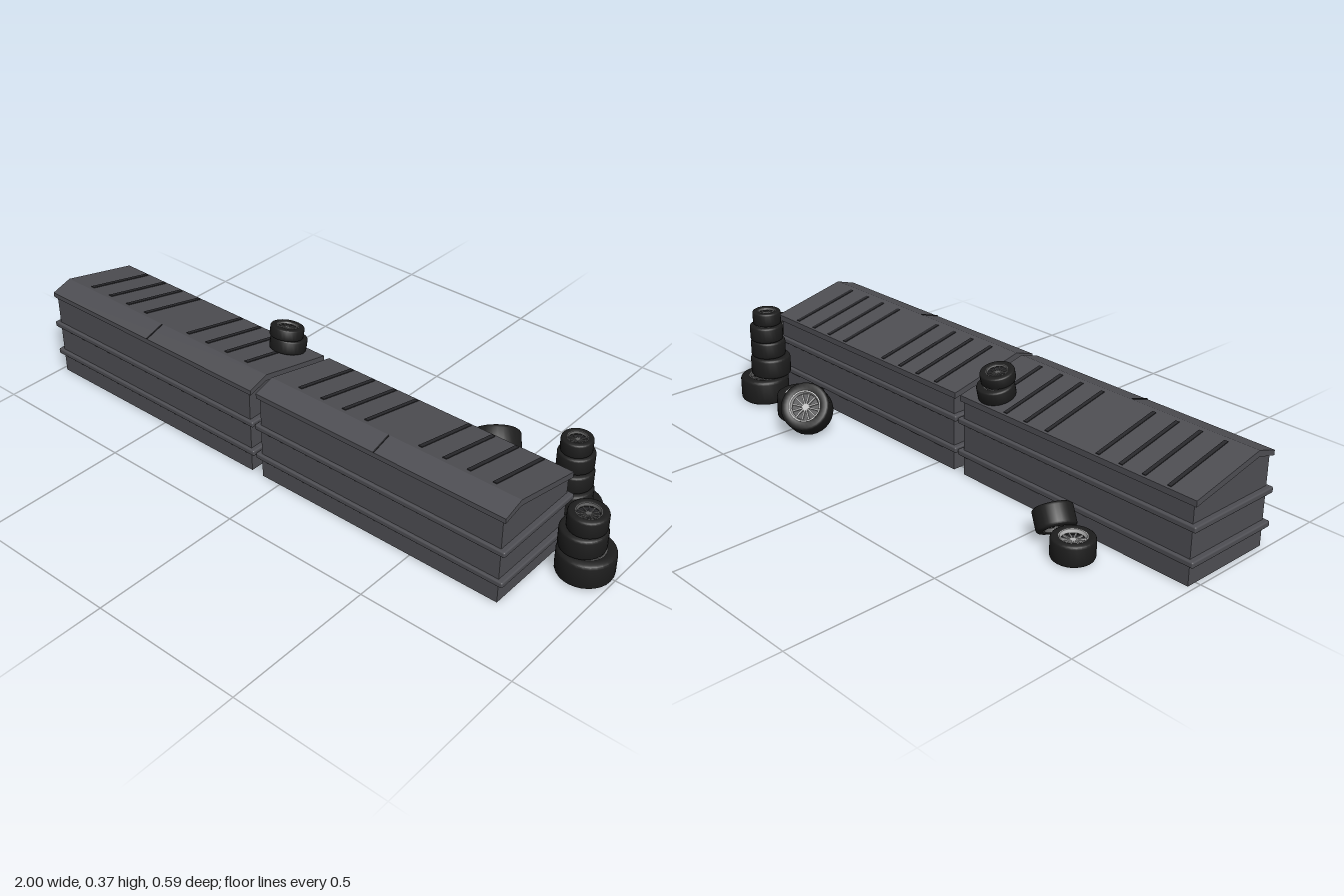
import * as THREE from 'three';
import { toCreasedNormals } from 'three/addons/utils/BufferGeometryUtils.js';
import { RoundedBoxGeometry } from 'three/addons/geometries/RoundedBoxGeometry.js';

const mat = (name, color) => {
  const m = new THREE.MeshStandardMaterial({ color });
  m.name = name;
  return m;
};

export function createModel() {
  const model = new THREE.Group();
  model.name = 'containersAndTires';
  const steel = mat('grey steel', 0x4e4e53);
  const groove = mat('dark groove', 0x29292c);
  const rubber = mat('black rubber', 0x1d1d1d);
  const alloy = mat('bright alloy', 0xb4b4b4);
  const dullAlloy = mat('dull alloy', 0x5c5c5c);

  const add = (parent, name, geo, material, x = 0, y = 0, z = 0) => {
    const m = new THREE.Mesh(geo, material);
    m.name = name;
    m.position.set(x, y, z);
    parent.add(m);
    return m;
  };

  // Side profile given as [z, y], extruded along x
  const extrudeX = (pts, width) => {
    const shape = new THREE.Shape(pts.map(([z, y]) => new THREE.Vector2(z, y)));
    const g = new THREE.ExtrudeGeometry(shape, { depth: width, bevelEnabled: false });
    return g.translate(0, 0, -width / 2).rotateY(-Math.PI / 2);
  };

  // Thin strip lying on the lid between two [z, y] points
  const lidStrip = (parent, name, x, a, b, width) => {
    const dz = b[0] - a[0], dy = b[1] - a[1];
    const g = new THREE.BoxGeometry(width, 0.005, Math.hypot(dz, dy));
    const m = add(parent, name, g, groove, x, (a[1] + b[1]) / 2, (a[0] + b[0]) / 2);
    m.rotation.x = -Math.atan2(dy, dz);
  };

  const container = (name, cx) => {
    const c = new THREE.Group();
    c.name = name;
    c.position.x = cx;
    model.add(c);
    add(c, 'body', extrudeX(
      [[-0.032, 0], [0.285, 0], [0.285, 0.29], [0.221, 0.31], [-0.032, 0.252]], 0.87), steel);
    add(c, 'lid', extrudeX(
      [[-0.038, 0.245], [0.221, 0.302], [0.291, 0.284], [0.291, 0.3], [0.221, 0.322], [-0.038, 0.264]],
      0.892), steel);
    for (const y of [0.074, 0.18])
      add(c, 'band', new RoundedBoxGeometry(0.906, 0.019, 0.338, 2, 0.005), steel, 0, y, 0.126);
    // Two sets of four grooves on the rear slope
    const slopeY = (z) => 0.264 + (z + 0.038) * (0.058 / 0.259);
    for (const side of [-1, 1])
      for (const x of [0.097, 0.18, 0.262, 0.348])
        lidStrip(c, 'lidGroove', side * x, [-0.03, slopeY(-0.03)], [0.205, slopeY(0.205)], 0.013);
    lidStrip(c, 'lidSeam', 0, [0.291, 0.3], [0.223, 0.3215], 0.004);
  };
  container('rightContainer', -0.5475);
  container('leftContainer', 0.3665);

  // Unit wheel parts: radius 1, height 1
  const lathe = (pts) => toCreasedNormals(
    new THREE.LatheGeometry(pts.map(([r, y]) => new THREE.Vector2(r, y)), 28), 0.6);
  const tireGeo = lathe([[0.62, -0.46], [0.7, -0.5], [0.9, -0.49], [0.97, -0.44], [1, -0.36],
    [1, 0.36], [0.97, 0.44], [0.9, 0.49], [0.7, 0.5], [0.62, 0.46], [0.62, -0.46]]);
  const lipGeo = lathe([[0.54, 0.32], [0.64, 0.32], [0.64, 0.475], [0.59, 0.475], [0.54, 0.32]]);
  const discGeo = new THREE.CylinderGeometry(0.63, 0.63, 0.4, 28);
  const hubGeo = new THREE.CylinderGeometry(0.15, 0.17, 0.12, 12);
  const spokeGeo = new THREE.BoxGeometry(0.45, 0.08, 0.06);

  const wheel = (name, r, h, pos, axis = [0, 1, 0], metal = dullAlloy) => {
    const w = new THREE.Group();
    w.name = name;
    w.position.set(...pos);
    w.scale.set(r, h, r);
    w.quaternion.setFromUnitVectors(
      new THREE.Vector3(0, 1, 0), new THREE.Vector3(...axis).normalize());
    add(w, 'tire', tireGeo, rubber);
    add(w, 'wheelDisc', discGeo, groove);
    // Same rim on both faces
    for (const flip of [0, Math.PI]) {
      const face = new THREE.Group();
      face.name = 'rim';
      face.rotation.x = flip;
      add(face, 'rimLip', lipGeo, metal);
      add(face, 'hub', hubGeo, metal, 0, 0.26, 0);
      for (let i = 0; i < 12; i++) {
        const a = (i / 12) * Math.PI * 2;
        add(face, 'spoke', spokeGeo, metal, Math.cos(a) * 0.36, 0.27, -Math.sin(a) * 0.36)
          .rotation.y = a;
      }
      w.add(face);
    }
    model.add(w);
  };

  // Stacks beside the left container: [radius, height, x, y, z]
  const stacks = {
    frontStackWheel: [
      [0.086, 0.085, 0.911, 0.043, 0.018], [0.07, 0.069, 0.896, 0.12, 0.021],
      [0.059, 0.058, 0.904, 0.184, 0.021]],
    rearStackWheel: [
      [0.081, 0.085, 0.772, 0.043, -0.14], [0.067, 0.069, 0.765, 0.12, -0.116],
      [0.058, 0.058, 0.768, 0.184, -0.121], [0.055, 0.054, 0.765, 0.241, -0.127],
      [0.047, 0.046, 0.765, 0.292, -0.123]],
  };
  for (const [name, list] of Object.entries(stacks))
    for (const [r, h, x, y, z] of list) wheel(name, r, h, [x, y, z]);

  // Pairs behind the containers, one flat and one leaning
  wheel('flatWheel', 0.081, 0.085, [0.565, 0.043, -0.14], undefined, alloy);
  wheel('leaningWheel', 0.08, 0.085, [0.442, 0.087, -0.208], [-0.5, 0.6, -0.62], alloy);
  wheel('flatWheel', 0.065, 0.069, [-0.674, 0.035, -0.147], undefined, alloy);
  wheel('leaningWheel', 0.06, 0.069, [-0.572, 0.07, -0.115], [0.6, 0.7, 0.3]);

  // Two wheels resting on the sloping lid
  wheel('lidWheel', 0.058, 0.046, [-0.2, 0.3, 0.016], [0, 0.97, -0.24]);
  wheel('lidWheel', 0.053, 0.037, [-0.2, 0.344, 0.021], [0, 0.97, -0.24]);

  return model;
}
